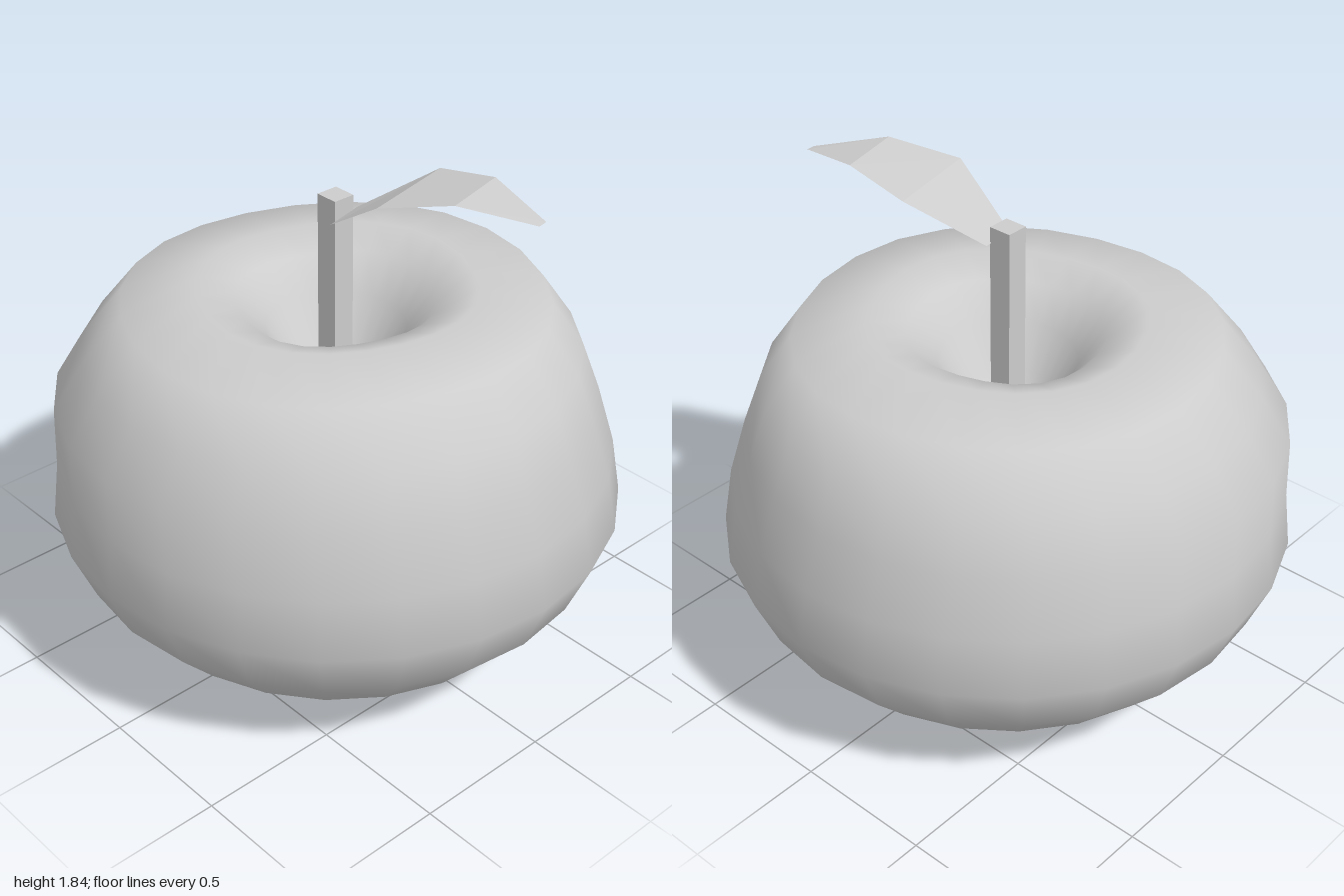
import * as THREE from 'three';

const grey = new THREE.MeshStandardMaterial({ color: 0xcccccc });
grey.name = 'light grey';
const greyLeaf = grey.clone();
greyLeaf.name = 'light grey leaf';
greyLeaf.side = THREE.DoubleSide;
greyLeaf.flatShading = true;

// Round fruit: a turned profile with a deep dimple, made a little uneven
function makeFruit() {
  const profile = [
    [0, 0.02], [0.15, 0.01], [0.33, 0], [0.58, 0.09], [0.77, 0.21], [0.92, 0.375],
    [1, 0.565], [0.97, 0.77], [0.935, 0.98], [0.85, 1.15], [0.725, 1.315],
    [0.47, 1.36], [0.34, 1.31], [0.24, 1.2], [0.15, 1.06], [0.07, 0.98], [0, 0.96],
  ].map(([r, y]) => new THREE.Vector2(r, y));
  const geometry = new THREE.LatheGeometry(profile, 24);
  const p = geometry.attributes.position;
  for (let i = 0; i < p.count; i++) {
    const x = p.getX(i), y = p.getY(i), z = p.getZ(i);
    const r = Math.hypot(x, z);
    // the shoulder leans slightly to the back right
    const lean = Math.exp(-(((y - 1) / 0.17) ** 2)) * Math.min(1, r);
    // the rim rises and falls gently around the dimple
    const rim = y > 1.3 ? 0.01 * Math.sin(3 * Math.atan2(z, x) + 0.6) : 0;
    p.setXYZ(i, x - 0.03 * lean, y + rim, z + 0.025 * lean);
  }
  return new THREE.Mesh(geometry, grey);
}

// Square stem standing in the dimple
function makeStem() {
  const bottom = 0.94, top = 1.69;
  const stem = new THREE.Mesh(new THREE.BoxGeometry(0.084, top - bottom, 0.08), grey);
  stem.position.set(0.003, (bottom + top) / 2, 0.008);
  return stem;
}

// Leaf: a folded strip through pairs of edge points, back then front
function makeLeaf() {
  const rows = [
    [[0.035, 1.635, -0.06], [0.06, 1.625, 0.08]],
    [[0.24, 1.79, -0.23], [0.32, 1.79, 0.125]],
    [[0.48, 1.84, -0.23], [0.54, 1.84, 0.01]],
    [[0.74, 1.797, -0.18], [0.745, 1.795, -0.145]],
  ];
  const index = [];
  for (let i = 0; i < rows.length - 1; i++) {
    const a = 2 * i;
    index.push(a, a + 1, a + 2, a + 1, a + 3, a + 2);
  }
  const indexed = new THREE.BufferGeometry();
  indexed.setAttribute('position', new THREE.Float32BufferAttribute(rows.flat(2), 3));
  indexed.setIndex(index);
  const geometry = indexed.toNonIndexed();
  geometry.computeVertexNormals();
  return new THREE.Mesh(geometry, greyLeaf);
}

export function createModel() {
  const group = new THREE.Group();
  group.name = 'fruit with stem and leaf';
  const parts = { fruit: makeFruit(), stem: makeStem(), leaf: makeLeaf() };
  for (const [name, mesh] of Object.entries(parts)) {
    mesh.name = name;
    group.add(mesh);
  }
  return group;
}
